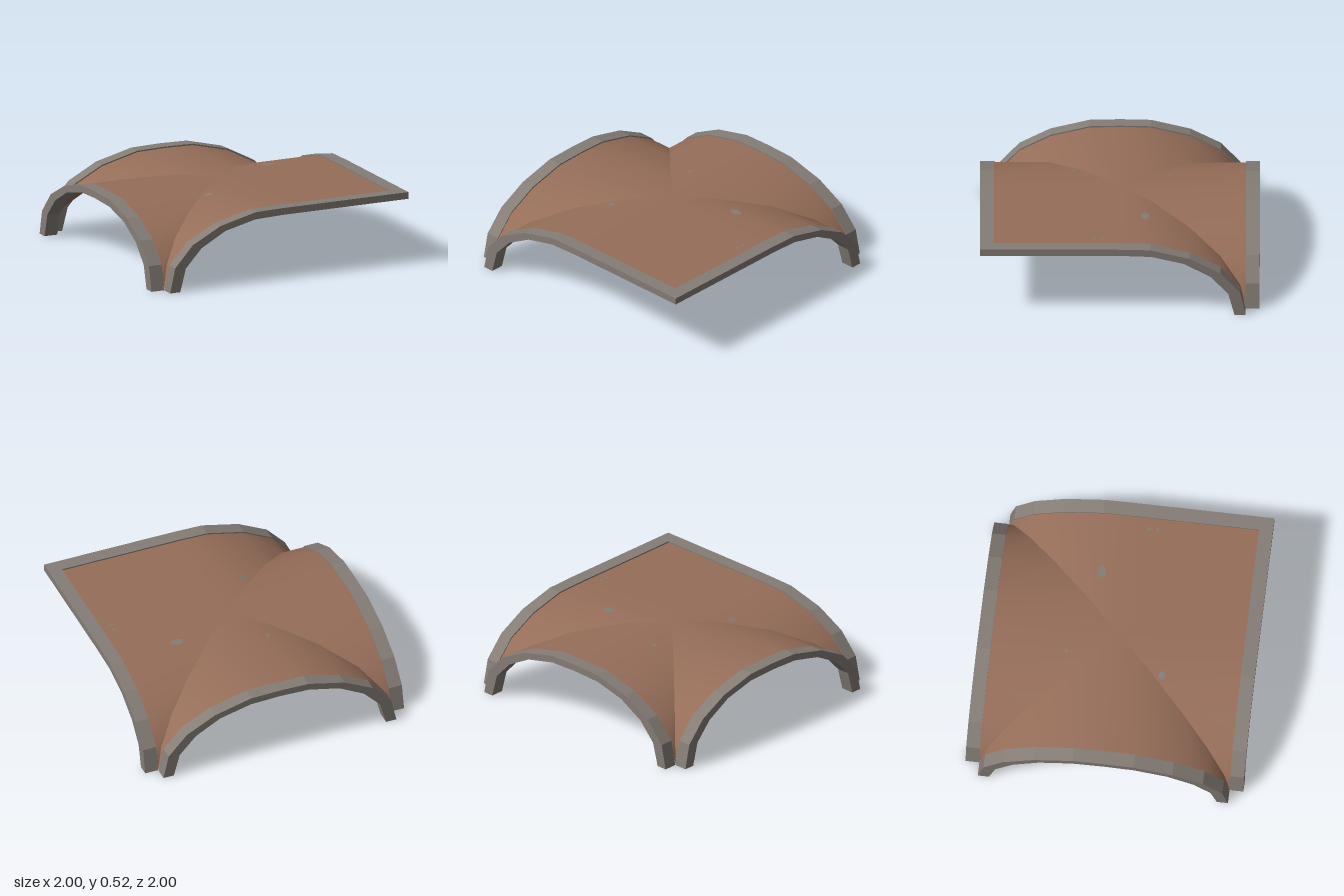
import * as THREE from 'three';

// Half-arch profiles, from the springing up to the crown: [distance from centre, height]
const OUTER = [[0.9, 0], [0.86, 0.18], [0.72, 0.335], [0.5, 0.45], [0.22, 0.52], [0, 0.525]];
const INNER = [[0.82, 0], [0.775, 0.17], [0.65, 0.305], [0.46, 0.41], [0.225, 0.467], [0, 0.475]];
const DROP = 0.01; // the shell sits just below the top of the ribs

// Height of the shell at a distance from the crown line
function shellHeight(t) {
  const d = Math.min(Math.abs(t), 0.9);
  for (let i = 0; i < OUTER.length - 1; i++) {
    const [a, ya] = OUTER[i], [b, yb] = OUTER[i + 1];
    if (d >= b) return Math.max(0.01, yb + (ya - yb) * (d - b) / (a - b) - DROP);
  }
  return 0.515;
}

// The full vault surface: groined, but level in the +x +z quarter
const vaultHeight = (x, z) =>
  x > 0 && z > 0 ? 0.515 : Math.max(shellHeight(x), shellHeight(z));

// Arched rib; a flat end value replaces that half of the arch by a level beam
function ribGeometry(flatLeft, flatRight) {
  const half = (pts, side, flat) => flat ? [[side * flat, pts[5][1]]] : pts.slice(0, 5).map(([x, y]) => [side * x, y]);
  const line = (pts) => [
    ...half(pts, -1, flatLeft), [0, pts[5][1]], ...half(pts, 1, flatRight).reverse(),
  ].map(([x, y]) => new THREE.Vector2(x, y));
  const shape = new THREE.Shape([...line(OUTER), ...line(INNER).reverse()]);
  const geo = new THREE.ExtrudeGeometry(shape, { depth: 0.1, bevelEnabled: false });
  return geo.translate(0, 0, 0.9);
}

// One triangular web between the centre and a rib, in strips along the profile
function webGeometry(flatLeft, flatRight) {
  const ts = [...OUTER.map(([x]) => -x), ...OUTER.slice(0, 5).map(([x]) => x).reverse()];
  const pos = [], index = [];
  ts.forEach((t, i) => {
    const flat = t < 0 ? flatLeft : flatRight;
    const y = flat ? 0.515 : shellHeight(t);
    pos.push(t, y, Math.abs(t), t, y, 0.9);
    if (i < ts.length - 1) {
      const a = i * 2;
      index.push(a, a + 1, a + 3, a, a + 3, a + 2);
    }
  });
  const geo = new THREE.BufferGeometry();
  geo.setAttribute('position', new THREE.Float32BufferAttribute(pos, 3));
  geo.setIndex(index);
  geo.computeVertexNormals();
  return geo;
}

// Small thin patch laid on the shell
function patchGeometry(x, z, rx, rz) {
  const geo = new THREE.CircleGeometry(1, 8).rotateX(-Math.PI / 2).scale(rx, 1, rz).translate(x, 0, z);
  const p = geo.attributes.position;
  for (let i = 0; i < p.count; i++) p.setY(i, vaultHeight(p.getX(i), p.getZ(i)) + 0.003);
  geo.computeVertexNormals();
  return geo;
}

export function createModel() {
  const stone = new THREE.MeshStandardMaterial({ color: 0x857d76 });
  stone.name = 'grey stone';
  const clay = new THREE.MeshStandardMaterial({ color: 0x966e59, side: THREE.DoubleSide });
  clay.name = 'brown clay';

  const model = new THREE.Group();
  model.name = 'groinVault';
  const add = (name, geo, mat) => {
    const mesh = new THREE.Mesh(geo, mat);
    mesh.name = name;
    model.add(mesh);
    return mesh;
  };

  // Four sides: name, turn about y, level half on the left or right
  const sides = [
    ['front', 0, 0, 1],
    ['right', Math.PI / 2, 0.9, 0],
    ['back', Math.PI, 0, 0],
    ['left', -Math.PI / 2, 0, 0],
  ];
  for (const [name, turn, flatLeft, flatRight] of sides) {
    add(name + 'Rib', ribGeometry(flatLeft, flatRight), stone).rotation.y = turn;
    add(name + 'Web', webGeometry(flatLeft, flatRight), clay).rotation.y = turn;
  }

  // Stone showing through the shell: x, z, half sizes
  const patches = [
    [0.46, -0.18, 0.05, 0.032], [-0.27, 0.34, 0.03, 0.025], [-0.17, -0.36, 0.016, 0.014],
    [0.82, 0.12, 0.012, 0.015], [0.82, 0.18, 0.013, 0.012],
  ];
  patches.forEach((p, i) => add('stonePatch' + (i + 1), patchGeometry(...p), stone));

  return model;
}
